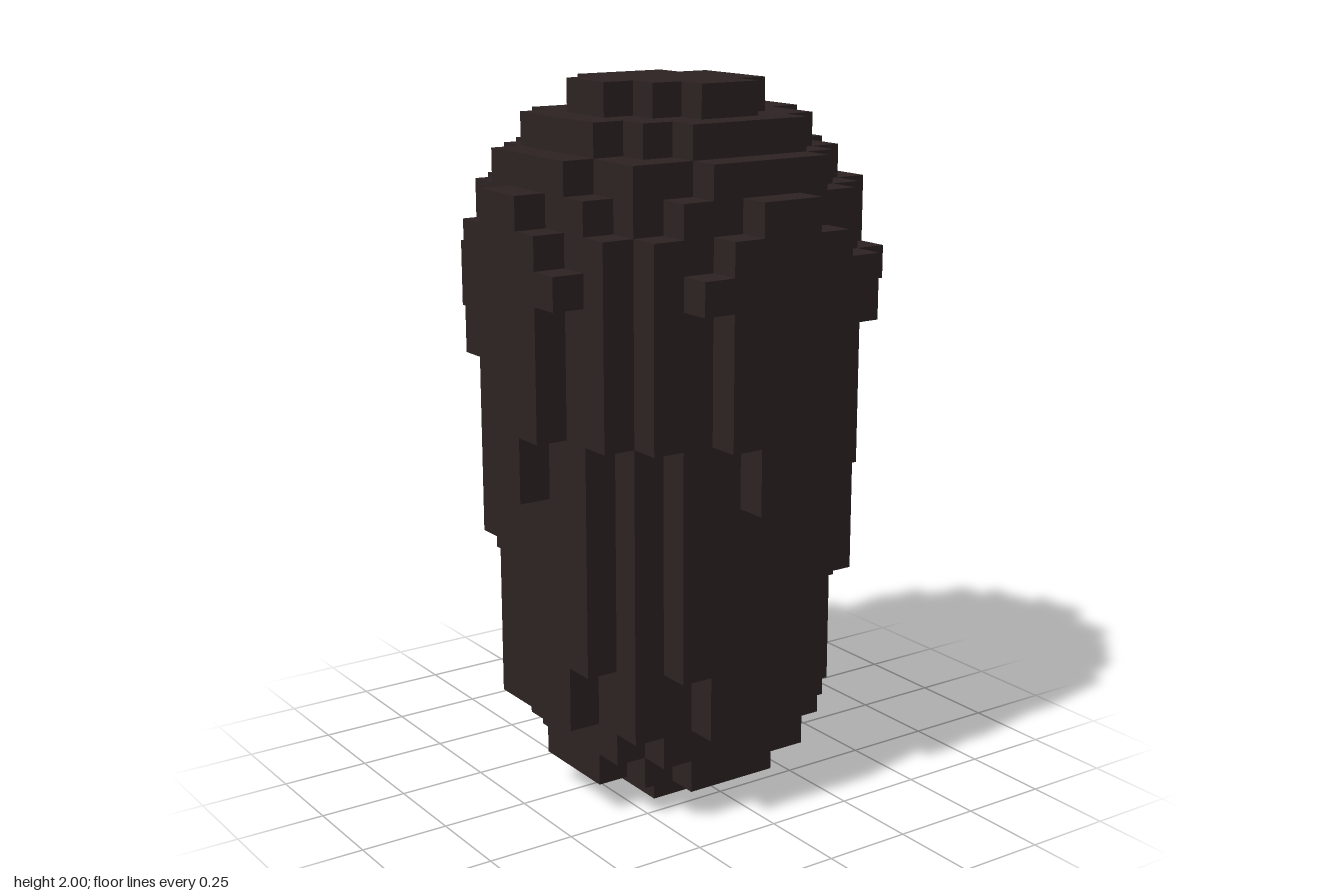
import * as THREE from 'three';
import { mergeGeometries } from 'three/addons/utils/BufferGeometryUtils.js';

const UNIT = 2 / 22;   // edge of one block
const SHIFT = 0.25;    // the round layers sit slightly off the block grid

// Squared radius of each layer in blocks, bottom to top
const LAYERS = [
  4.8, 12.8, 17.4, 21.8,                       // rounded base
  22.8, 23.6, 24.4, 25.2, 26.1, 27, 27.9,      // widening body
  28.4, 29.6, 30.4, 31.5, 32.4, 33.4,
  31.4, 28.4, 22.8, 15, 5.9,                   // domed top
];

// Is there a block in cell (x, y, z)?
function filled(x, y, z) {
  if (y < 0 || y >= LAYERS.length) return false;
  const dx = x + 0.5 + SHIFT, dz = z + 0.5 - SHIFT;
  return dx * dx + dz * dz <= LAYERS[y];
}

// One block side for each direction, pushed out from the block centre
function makeSides() {
  const side = (dir, turn) => {
    const geometry = new THREE.PlaneGeometry(UNIT, UNIT).translate(0, 0, UNIT / 2);
    turn(geometry);
    return { dir, geometry };
  };
  return [
    side([0, 0, 1], () => {}),
    side([0, 0, -1], (g) => g.rotateY(Math.PI)),
    side([1, 0, 0], (g) => g.rotateY(Math.PI / 2)),
    side([-1, 0, 0], (g) => g.rotateY(-Math.PI / 2)),
    side([0, 1, 0], (g) => g.rotateX(-Math.PI / 2)),
    side([0, -1, 0], (g) => g.rotateX(Math.PI / 2)),
  ];
}

export function createModel() {
  const group = new THREE.Group();
  group.name = 'blockEgg';

  const darkBrown = new THREE.MeshStandardMaterial({ color: 0x2d2323 });
  darkBrown.name = 'darkBrown';

  // Keep only the block sides that face open air
  const sides = makeSides();
  const faces = [];
  for (let y = 0; y < LAYERS.length; y++) {
    for (let x = -7; x < 7; x++) {
      for (let z = -7; z < 7; z++) {
        if (!filled(x, y, z)) continue;
        for (const { dir, geometry } of sides) {
          if (filled(x + dir[0], y + dir[1], z + dir[2])) continue;
          faces.push(geometry.clone().translate(
            (x + 0.5) * UNIT, (y + 0.5) * UNIT, (z + 0.5) * UNIT));
        }
      }
    }
  }

  const shell = new THREE.Mesh(mergeGeometries(faces), darkBrown);
  shell.name = 'eggShell';
  group.add(shell);
  return group;
}
